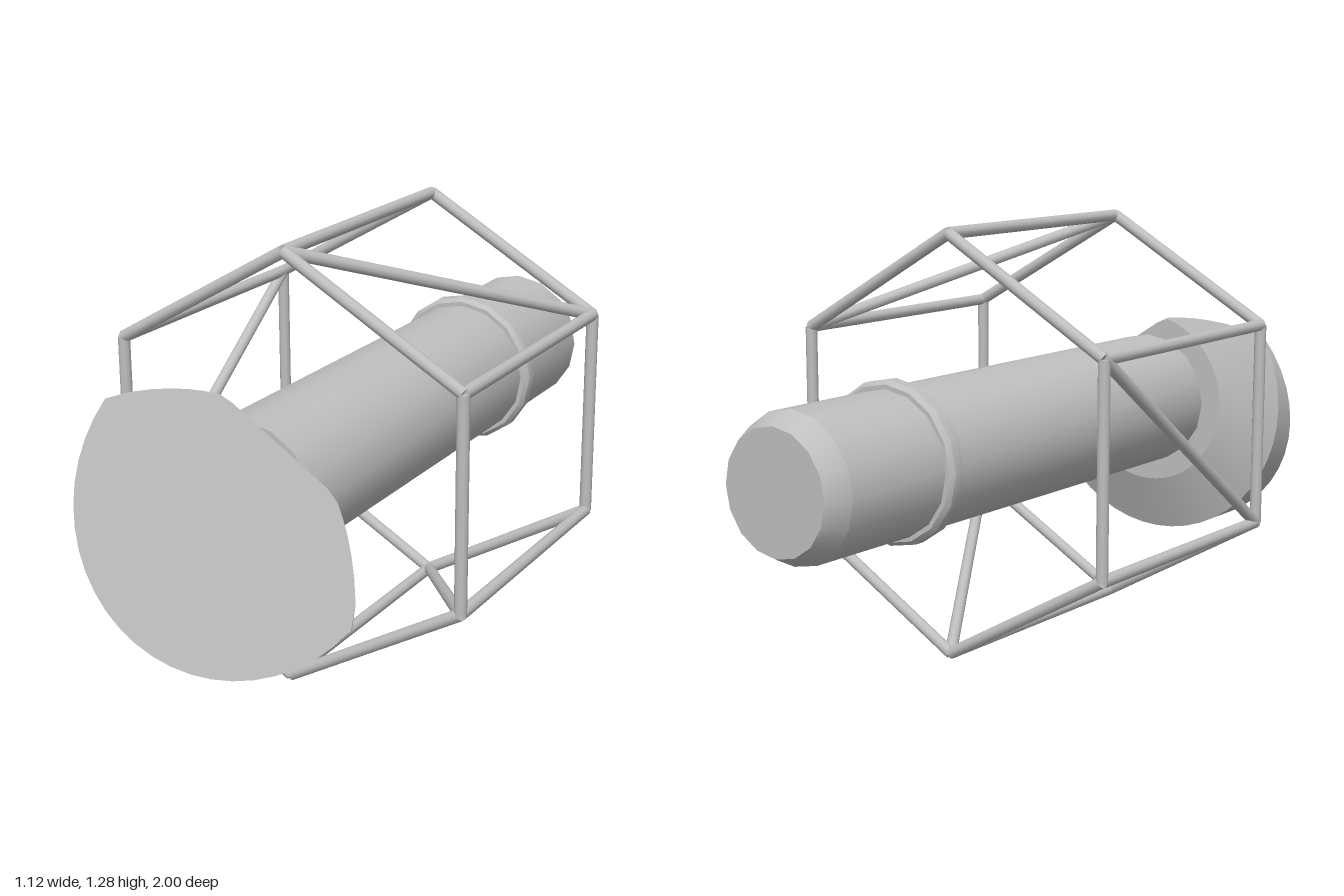
import * as THREE from 'three';
import { toCreasedNormals } from 'three/addons/utils/BufferGeometryUtils.js';

const AXIS_Y = 0.65;

// Solid turned about the z axis from [radius, z] pairs
function turned(name, profile, material) {
  const geo = new THREE.LatheGeometry(profile.map(([r, z]) => new THREE.Vector2(r, z)), 16);
  const mesh = new THREE.Mesh(toCreasedNormals(geo, 0.42), material);
  mesh.name = name;
  mesh.rotation.x = Math.PI / 2;
  mesh.position.y = AXIS_Y;
  return mesh;
}

// Straight round bar between two points
function rod(name, a, b, material) {
  const dir = b.clone().sub(a);
  const geo = new THREE.CylinderGeometry(0.018, 0.018, dir.length(), 10);
  const mesh = new THREE.Mesh(geo, material);
  mesh.name = name;
  mesh.position.copy(a).add(b).multiplyScalar(0.5);
  mesh.quaternion.setFromUnitVectors(new THREE.Vector3(0, 1, 0), dir.normalize());
  return mesh;
}

// Flared head: cone, then cylinder, sliced by a slanted plane
function flaredHead(material) {
  const SEG = 48, BASE_R = 0.28, RIM_R = 0.46, BACK_Z = 0.785, RIM_Z = 0.855;
  const slope = 0.327, midZ = 0.849, tilt = Math.atan2(0.838, 0.545);
  const coneSlope = (RIM_Z - BACK_Z) / (RIM_R - BASE_R);
  const section = (angle) => {
    const k = Math.cos(angle - tilt);
    const chord = k > 0 ? (midZ - BACK_Z) / (slope * k) : Infinity;
    const backR = Math.min(BASE_R, chord);
    const onCone = (midZ - BACK_Z + coneSlope * BASE_R) / (coneSlope + slope * k);
    const rimR = chord < BASE_R ? backR : Math.min(RIM_R, onCone);
    const rimZ = BACK_Z + Math.max(0, rimR - BASE_R) * coneSlope;
    const frontZ = Math.max(rimZ, midZ - slope * k * rimR);
    return [[0, BACK_Z], [backR, BACK_Z], [rimR, rimZ], [rimR, frontZ], [0, midZ]]
      .map(([r, z]) => [r * Math.cos(angle), r * Math.sin(angle), z]);
  };
  const pos = [];
  for (let i = 0; i < SEG; i++) {
    const p = section((i / SEG) * Math.PI * 2);
    const q = section(((i + 1) / SEG) * Math.PI * 2);
    for (let j = 0; j < 4; j++) {
      if (j > 0) pos.push(...p[j], ...q[j], ...q[j + 1]);
      if (j < 3) pos.push(...p[j], ...q[j + 1], ...p[j + 1]);
    }
  }
  const geo = new THREE.BufferGeometry();
  geo.setAttribute('position', new THREE.Float32BufferAttribute(pos, 3));
  geo.computeVertexNormals();
  const mesh = new THREE.Mesh(toCreasedNormals(geo, 0.35), material);
  mesh.name = 'flaredHead';
  mesh.position.y = AXIS_Y;
  return mesh;
}

export function createModel() {
  const model = new THREE.Group();
  model.name = 'cagedTube';
  const grey = new THREE.MeshStandardMaterial({ color: 0xbfbfbf });
  grey.name = 'grey metal';

  // Main barrel with chamfered rear, and the collar around it
  model.add(turned('barrel', [[0, -1], [0.178, -1], [0.213, -0.93], [0.213, 0.785], [0, 0.785]], grey));
  model.add(turned('collar', [[0.2, -0.556], [0.226, -0.556], [0.238, -0.542],
    [0.238, -0.508], [0.226, -0.494], [0.2, -0.494]], grey));
  model.add(flaredHead(grey));

  // Hexagonal cage: corner 0 is the top, counting toward +x
  const cage = new THREE.Group();
  cage.name = 'cage';
  const FRONT = 0.577, BACK = -0.277;
  const corner = (i, z) => {
    const a = (i * Math.PI) / 3;
    return new THREE.Vector3(0.624 * Math.sin(a), AXIS_Y + 0.624 * Math.cos(a), z);
  };
  for (let i = 0; i < 6; i++) {
    cage.add(rod('frontHexagonBar', corner(i, FRONT), corner(i + 1, FRONT), grey));
    cage.add(rod('backHexagonBar', corner(i, BACK), corner(i + 1, BACK), grey));
    cage.add(rod('lengthwiseBar', corner(i, FRONT), corner(i, BACK), grey));
    // Diagonal braces on every other side
    if (i % 2 === 0) cage.add(rod('diagonalBrace', corner(i, FRONT), corner(i + 1, BACK), grey));
  }
  model.add(cage);
  return model;
}
